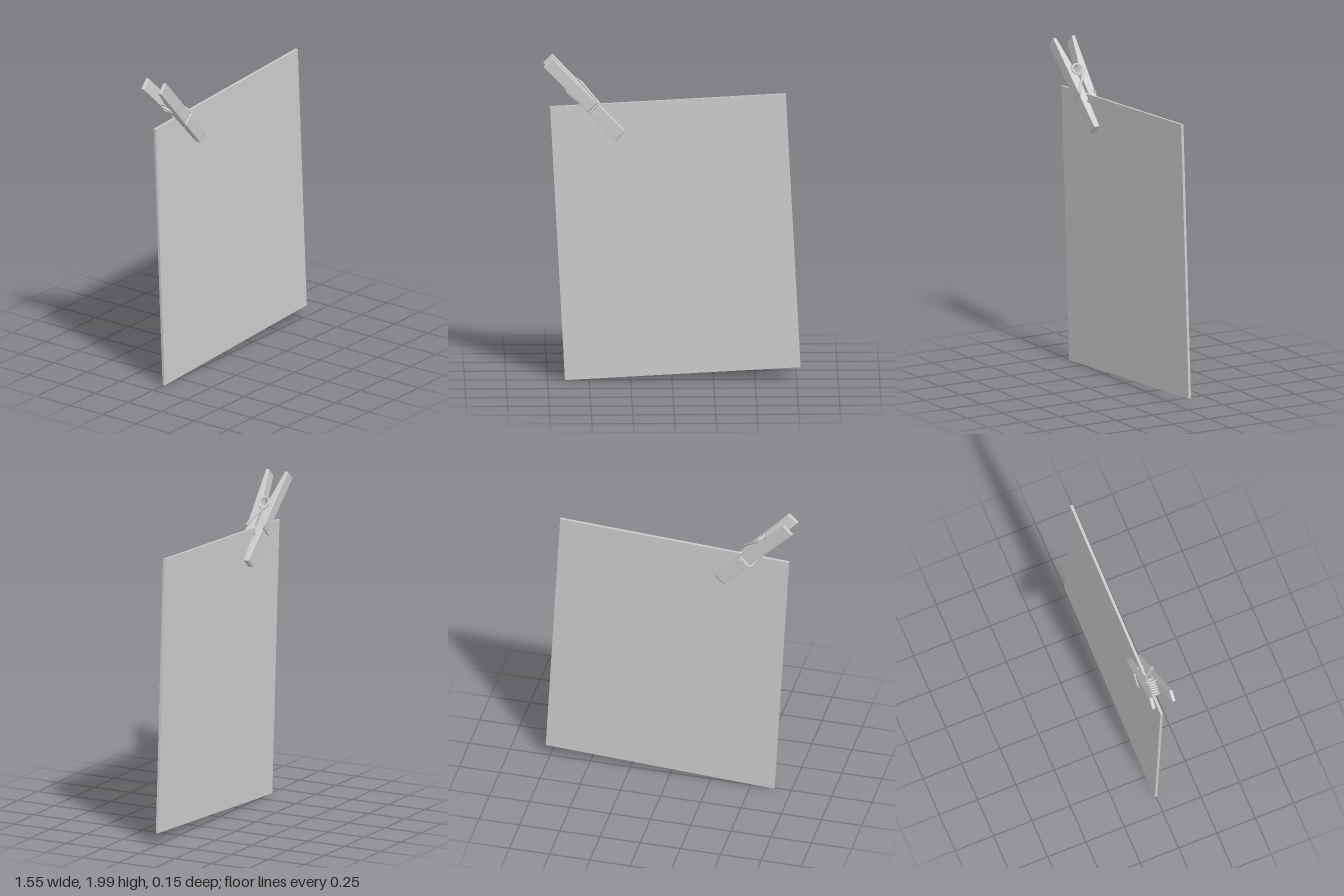
import * as THREE from 'three';

const GREY = new THREE.MeshStandardMaterial({ color: 0xcccccc });

// Clothespin frame: y runs from the jaw tip to the handle, x is its width, z its depth
const WIDTH = 0.078, LENGTH = 0.637;
const COIL_Y = 0.405, COIL_R = 0.033, COIL_X = 0.048, WIRE_R = 0.0075;
const GROOVE_Y = 0.239;

function part(geometry, name) {
  const mesh = new THREE.Mesh(geometry, GREY);
  mesh.name = name;
  return mesh;
}

// Side profile of one wooden leg, extruded across the width
function legGeometry() {
  const s = new THREE.Shape();
  s.moveTo(0.015, 0);
  s.lineTo(0.009, 0.012);
  s.absarc(0.009, 0.18, 0.012, -Math.PI / 2, Math.PI / 2, false); // grip notch
  s.lineTo(0.009, 0.35);
  s.absarc(0, COIL_Y, 0.041, -1.31, 0.99, false); // spring seat
  s.lineTo(0.054, LENGTH - 0.004);
  s.lineTo(0.058, LENGTH);
  s.lineTo(0.072, LENGTH);
  s.lineTo(0.076, LENGTH - 0.006);
  s.lineTo(0.0575, GROOVE_Y + 0.014); // wire groove
  s.lineTo(0.049, GROOVE_Y + 0.008);
  s.lineTo(0.049, GROOVE_Y - 0.008);
  s.lineTo(0.0565, GROOVE_Y - 0.014);
  s.lineTo(0.046, 0.012);
  s.lineTo(0.04, 0);
  s.closePath();
  const bevel = 0.004;
  const g = new THREE.ExtrudeGeometry(s, {
    depth: WIDTH - 2 * bevel, curveSegments: 10,
    bevelThickness: bevel, bevelSize: bevel, bevelOffset: -bevel, bevelSegments: 2,
  });
  g.translate(0, 0, -(WIDTH - 2 * bevel) / 2);
  g.rotateY(-Math.PI / 2);
  return g;
}

// One wire: an arm, the coil, and the opposite arm turned half way round
function springGeometry() {
  const arm = [
    [COIL_X, 0.345, -0.005], [COIL_X, 0.29, 0.029], [COIL_X, 0.25, 0.051],
    [0.044, GROOVE_Y, 0.057], [0.03, GROOVE_Y, 0.057], [0, GROOVE_Y, 0.057], [-0.036, GROOVE_Y, 0.057],
  ];
  const points = arm.map(([x, y, z]) => new THREE.Vector3(-x, y, -z)).reverse();
  const start = -0.5, end = -2.64 + 12 * Math.PI, steps = 100;
  for (let i = 0; i <= steps; i++) {
    const t = i / steps, a = start + (end - start) * t;
    points.push(new THREE.Vector3(
      COIL_X * (2 * t - 1), COIL_Y + COIL_R * Math.sin(a), COIL_R * Math.cos(a)));
  }
  arm.forEach(p => points.push(new THREE.Vector3(...p)));
  const curve = new THREE.CatmullRomCurve3(points);
  curve.arcLengthDivisions = 1200;
  return new THREE.TubeGeometry(curve, 400, WIRE_R, 8);
}

// Flat discs that close the two ends of the wire
function wireCap(side) {
  const g = new THREE.SphereGeometry(WIRE_R, 8, 6);
  g.translate(-0.036 * side, GROOVE_Y, 0.057 * side);
  return g;
}

export function createModel() {
  const model = new THREE.Group();
  model.name = 'clippedSheet';

  // Sheet, hanging slightly askew
  const sheet = part(new THREE.BoxGeometry(1.422, 1.688, 0.016), 'sheet');
  sheet.position.set(0.02, 0.885, 0);
  sheet.rotation.z = 0.053;
  model.add(sheet);

  // Clothespin
  const pin = new THREE.Group();
  pin.name = 'clothespin';
  const leg = legGeometry();
  const front = part(leg, 'frontLeg');
  const back = part(leg, 'backLeg');
  back.rotation.y = Math.PI;
  pin.add(front, back, part(springGeometry(), 'spring'));
  pin.add(part(wireCap(1), 'frontWireEnd'), part(wireCap(-1), 'backWireEnd'));
  pin.position.set(-0.3075, 1.5125, 0);
  pin.rotation.z = 0.763;
  model.add(pin);

  return model;
}
